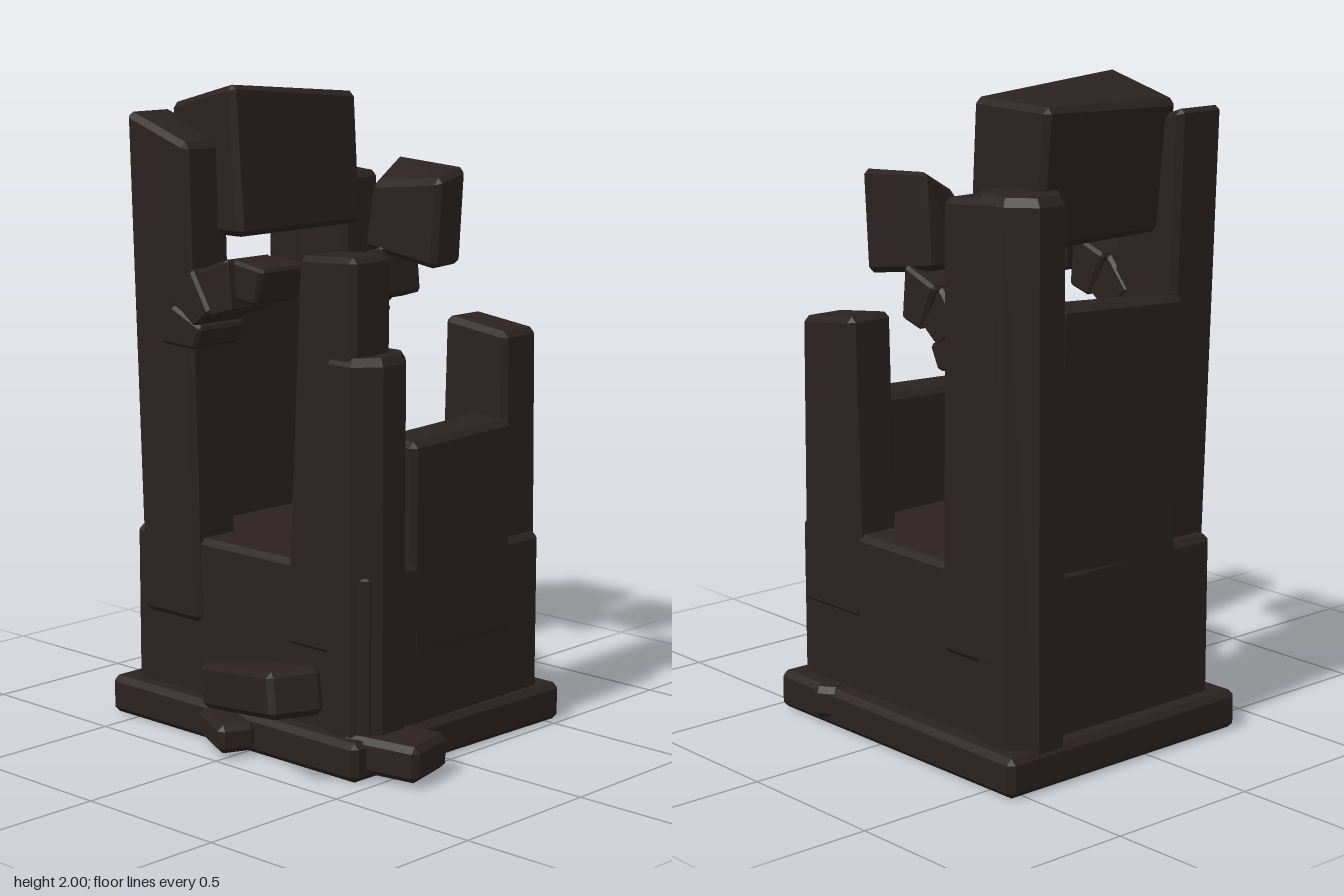
import * as THREE from 'three';
import { ConvexGeometry } from 'three/addons/geometries/ConvexGeometry.js';

// Six-sided stone with chamfered edges; outlines are 4 [x, y] points in order
function chamferedStone(front, back, z1, z0, bevel = 0.018) {
  const grid = [back.map(([x, y]) => new THREE.Vector3(x, y, z0)),
    front.map(([x, y]) => new THREE.Vector3(x, y, z1))];
  const points = [];
  for (let s = 0; s < 2; s++) {
    for (let i = 0; i < 4; i++) {
      const p = grid[s][i];
      const steps = [grid[s][(i + 1) % 4], grid[s][(i + 3) % 4], grid[1 - s][i]]
        .map((q) => q.clone().sub(p).setLength(bevel));
      for (let k = 0; k < 3; k++) {
        points.push(p.clone().add(steps[k]).add(steps[(k + 1) % 3]));
      }
    }
  }
  return new ConvexGeometry(points);
}

const rect = (x0, x1, y0, y1) => [[x0, y0], [x1, y0], [x1, y1], [x0, y1]];

export function createModel() {
  const model = new THREE.Group();
  model.name = 'ruinedTower';
  const stone = new THREE.MeshStandardMaterial({ color: 0x2b2221 });
  stone.name = 'dark stone';

  function add(name, geometry, position = [0, 0, 0], rotation = [0, 0, 0]) {
    const mesh = new THREE.Mesh(geometry, stone);
    mesh.name = name;
    mesh.position.set(...position);
    mesh.rotation.set(...rotation);
    model.add(mesh);
    return mesh;
  }
  const slab = (name, front, z1, z0, back = front, bevel) =>
    add(name, chamferedStone(front, back, z1, z0, bevel));
  const box = (name, w, h, d, position, rotation) =>
    add(name, chamferedStone(rect(-w / 2, w / 2, -h / 2, h / 2),
      rect(-w / 2, w / 2, -h / 2, h / 2), d / 2, -d / 2), position, rotation);

  // Base and solid lower storey
  slab('baseSlab', rect(-0.61, 0.455, 0.005, 0.125), 0.375, -0.555, rect(-0.61, 0.48, 0.005, 0.125));
  slab('lowerCore', rect(-0.55, 0.44, 0.1, 0.62), 0.315, -0.49);

  // Octagonal corner columns with a chamfered top
  function column(name, x, z, rx, rz, top) {
    const profile = [[0, 0.1], [1, 0.1], [1, top - 0.025], [0.87, top], [0, top]]
      .map(([r, y]) => new THREE.Vector2(r, y));
    const geometry = new THREE.LatheGeometry(profile, 8).rotateY(Math.PI / 8)
      .scale(rx / 0.924, 1, rz / 0.924).toNonIndexed();
    geometry.computeVertexNormals();
    add(name, geometry, [x, 0, z]);
  }
  column('tallCornerColumn', -0.472, -0.393, 0.13, 0.115, 1.725);
  column('shortCornerColumn', 0.352, 0.215, 0.11, 0.118, 1.26);

  // Leaning piers beside the front and back openings
  slab('frontLeftPier', [[-0.495, 0.355], [-0.245, 0.355], [-0.285, 1.835], [-0.55, 1.925]], 0.335, 0.155);
  slab('frontRightPier', [[0.115, 0.355], [0.4, 0.355], [0.4, 1.55], [0.175, 1.54]], 0.325, 0.155,
    [[0.13, 0.355], [0.4, 0.355], [0.4, 1.55], [0.19, 1.54]]);
  slab('backLeftPier', [[-0.5, 0.355], [-0.25, 0.355], [-0.265, 1.7], [-0.52, 1.72]], -0.34, -0.51);
  slab('backRightPier', [[0.14, 0.355], [0.42, 0.355], [0.41, 1.26], [0.165, 1.29]], -0.34, -0.5);

  // Side walls, each left broken at the top
  slab('rightSideWall', rect(0.285, 0.44, 0.33, 0.985), 0.105, -0.34, rect(0.285, 0.45, 0.33, 1.0));
  slab('leftSideWall', [[-0.55, 0.33], [-0.4, 0.33], [-0.42, 1.36], [-0.58, 1.38]], 0.16, -0.32,
    [[-0.53, 0.33], [-0.39, 0.33], [-0.41, 1.39], [-0.56, 1.4]]);

  // Tilted lintel on the piers and the broken piece at the back
  slab('topBlock', [[-0.45, 1.55], [-0.18, 1.55], [-0.215, 2.015], [-0.49, 1.94]], 0.205, -0.345,
    [[-0.49, 1.55], [-0.185, 1.55], [-0.21, 1.965], [-0.53, 1.96]]);
  slab('brokenBackBlock', [[-0.185, 1.47], [0.12, 1.425], [0.14, 1.71], [-0.14, 1.68]], -0.34, -0.485,
    [[-0.17, 1.47], [0.11, 1.43], [0.13, 1.74], [-0.16, 1.765]]);

  // Wedge stones of the broken arches
  const wedges = [
    [[-0.395, 1.22], [-0.245, 1.215], [-0.21, 1.285], [-0.345, 1.345]],
    [[-0.245, 1.28], [-0.175, 1.335], [-0.255, 1.465], [-0.345, 1.36]],
    [[-0.17, 1.32], [-0.085, 1.345], [-0.1, 1.505], [-0.235, 1.455]],
    [[-0.065, 1.385], [0.015, 1.375], [0.055, 1.485], [-0.08, 1.505]],
  ];
  wedges.forEach((w, i) => slab('frontArchStone' + (i + 1), w, 0.345, 0.15, w, 0.01));
  wedges.slice(0, 3).forEach((w, i) => {
    const shifted = w.map(([x, y]) => [x + 0.01, y - 0.02]);
    slab('backArchStone' + (i + 1), shifted, -0.325, -0.505, shifted, 0.01);
  });

  // Fallen stones around the foot
  const fallen = box('fallenBeam', 0.58, 0.14, 0.17, [0.11, 0.24, 0.42], [0, -0.4, 0.21]);
  fallen.rotation.order = 'YZX';
  box('cornerRubble', 0.26, 0.11, 0.2, [0.47, 0.078, 0.22], [0, 0.24, -0.03]);
  box('frontRubble', 0.2, 0.09, 0.12, [-0.06, 0.07, 0.395], [0, -0.42, -0.05]);
  box('backRubble', 0.09, 0.1, 0.09, [0.255, 0.08, -0.53], [0, 0.6, 0]);
  box('columnFootStone', 0.12, 0.26, 0.1, [-0.5, 0.23, -0.44], [0, 0.1, 0]);

  return model;
}
